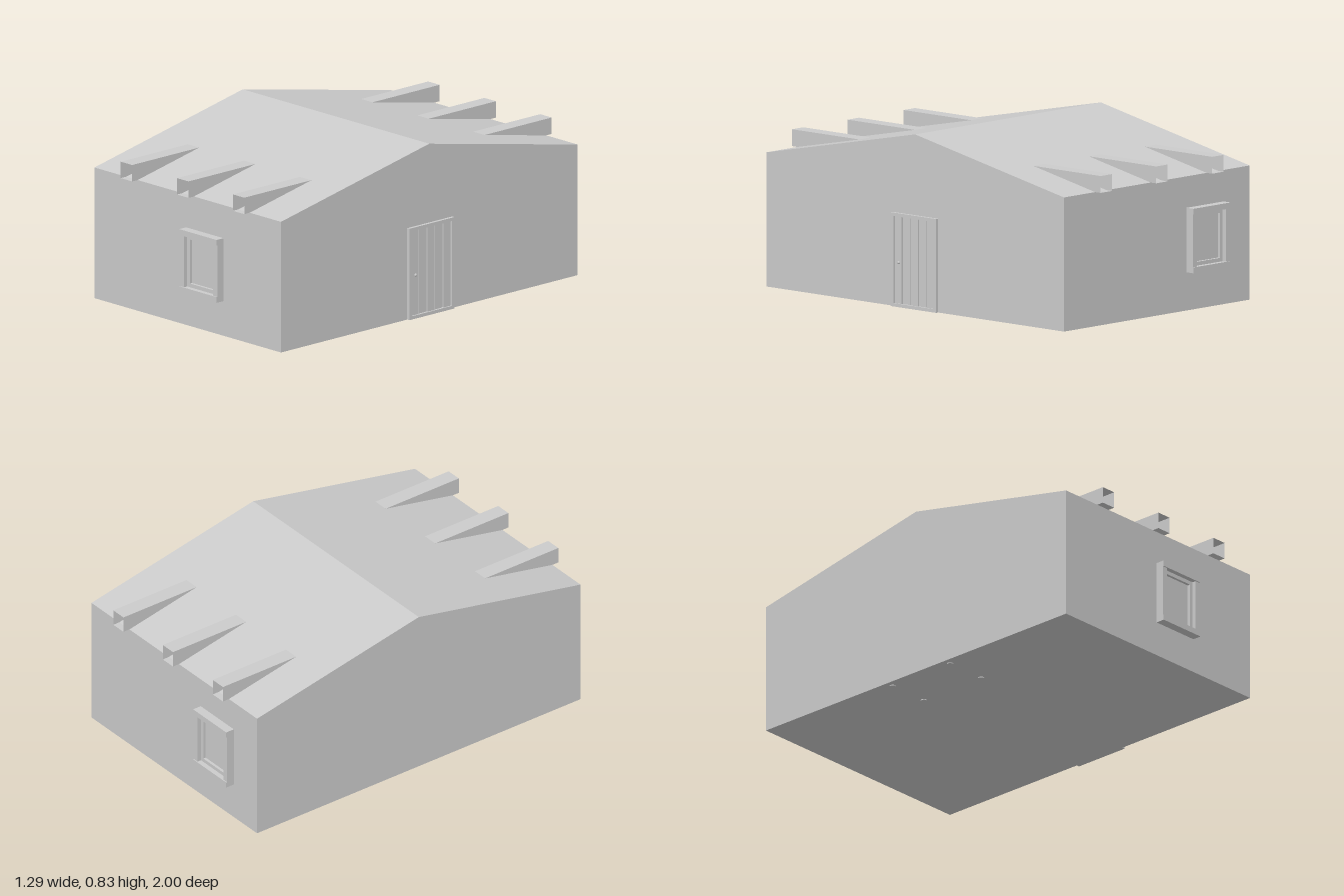
import * as THREE from 'three';

const grey = new THREE.MeshStandardMaterial({ color: 0xcccccc, flatShading: true });
const greyOpen = new THREE.MeshStandardMaterial({ color: 0xcccccc, flatShading: true, side: THREE.DoubleSide });

// Box given by its min and max corners
function box(parent, name, [x0, y0, z0], [x1, y1, z1]) {
  const mesh = new THREE.Mesh(new THREE.BoxGeometry(x1 - x0, y1 - y0, z1 - z0), grey);
  mesh.position.set((x0 + x1) / 2, (y0 + y1) / 2, (z0 + z1) / 2);
  mesh.name = name;
  parent.add(mesh);
  return mesh;
}

const X0 = -0.645, X1 = 0.625, HALF = 0.955, BASE = 0.004, EAVE = 0.64, RIDGE = 0.832;

// Walls and gable roof: one pentagon swept along x
function house() {
  const s = new THREE.Shape();
  [[-HALF, BASE], [HALF, BASE], [HALF, EAVE], [0, RIDGE], [-HALF, EAVE]]
    .forEach(([a, b], i) => (i ? s.lineTo(a, b) : s.moveTo(a, b)));
  const geo = new THREE.ExtrudeGeometry(s, { depth: X1 - X0, bevelEnabled: false });
  geo.rotateY(Math.PI / 2);
  geo.translate(X0, 0, 0);
  const mesh = new THREE.Mesh(geo, grey);
  mesh.name = 'houseBody';
  return mesh;
}

// Hollow square roof vent, open at its outer end, running into the roof slope
function roofVent() {
  const w = 0.039, top = 0.72, zIn = 0.558, zOut = 0.99;
  const ring = z => [[-w, EAVE, z], [w, EAVE, z], [w, top, z], [-w, top, z]];
  const geo = new THREE.BufferGeometry();
  geo.setAttribute('position', new THREE.Float32BufferAttribute([...ring(zIn), ...ring(zOut)].flat(), 3));
  const index = [];
  for (let i = 0; i < 4; i++) {
    const j = (i + 1) % 4;
    index.push(i, j, j + 4, i, j + 4, i + 4);
  }
  geo.setIndex(index);
  geo.computeVertexNormals();
  const mesh = new THREE.Mesh(geo, greyOpen);
  mesh.name = 'roofVent';
  return mesh;
}

// Four bars around an opening, centred on x = 0, projecting along +z from the wall
function frame(parent, name, halfW, y0, y1, bar, depthRail, depthStile) {
  box(parent, name + 'Bottom', [-halfW, y0, -0.01], [halfW, y0 + bar, depthRail]);
  box(parent, name + 'Top', [-halfW, y1 - bar, -0.01], [halfW, y1, depthRail]);
  for (const s of [-1, 1]) {
    const a = s * halfW, b = s * (halfW - bar);
    box(parent, name + 'Side', [Math.min(a, b), y0 + bar, -0.01], [Math.max(a, b), y1 - bar, depthStile]);
  }
}

// Window with outer frame, inner sash and recessed pane
function makeWindow(name) {
  const g = new THREE.Group();
  g.name = name;
  frame(g, 'frame', 0.127, 0, 0.306, 0.028, 0.045, 0.04);
  frame(g, 'sash', 0.099, 0.028, 0.278, 0.018, 0.02, 0.02);
  box(g, 'pane', [-0.081, 0.046, -0.01], [0.081, 0.26, 0.006]);
  return g;
}

// Plank door with jambs, lintel, threshold and knob, facing +z
function makeDoor() {
  const g = new THREE.Group();
  g.name = 'door';
  frame(g, 'doorFrame', 0.145, 0, 0.445, 0.016, 0.015, 0.015);
  const n = 5, start = -0.129, pitch = 0.258 / n;
  for (let i = 0; i < n; i++) {
    const a = start + i * pitch;
    box(g, 'plank', [a + 0.004, 0.016, -0.01], [a + pitch - 0.004, 0.429, i % 2 ? 0.004 : 0.008]);
  }
  const knob = new THREE.Mesh(new THREE.SphereGeometry(0.007, 8, 6), grey);
  knob.position.set(-0.1, 0.21, 0.009);
  knob.name = 'doorKnob';
  g.add(knob);
  return g;
}

export function createModel() {
  const model = new THREE.Group();
  model.name = 'house';
  model.add(house());

  // Three vents on each roof slope
  for (const x of [-0.39, -0.007, 0.373]) {
    for (const back of [false, true]) {
      const vent = roofVent();
      vent.position.x = x;
      if (back) vent.rotation.y = Math.PI;
      model.add(vent);
    }
  }

  // One window on each long wall
  const front = makeWindow('frontWindow');
  front.position.set(0.107, 0.173, HALF);
  const rear = makeWindow('backWindow');
  rear.position.set(-0.34, 0.185, -HALF);
  rear.rotation.y = Math.PI;
  model.add(front, rear);

  // Door in the gable wall
  const door = makeDoor();
  door.position.set(X1, BASE, -0.003);
  door.rotation.y = Math.PI / 2;
  model.add(door);

  // Small feet showing through the floor
  for (const x of [-0.605, -0.39]) {
    for (const z of [-0.185, 0.18]) {
      const foot = new THREE.Mesh(new THREE.CylinderGeometry(0.016, 0.016, 0.01, 12), grey);
      foot.position.set(x, 0.005, z);
      foot.name = 'foot';
      model.add(foot);
    }
  }
  return model;
}
